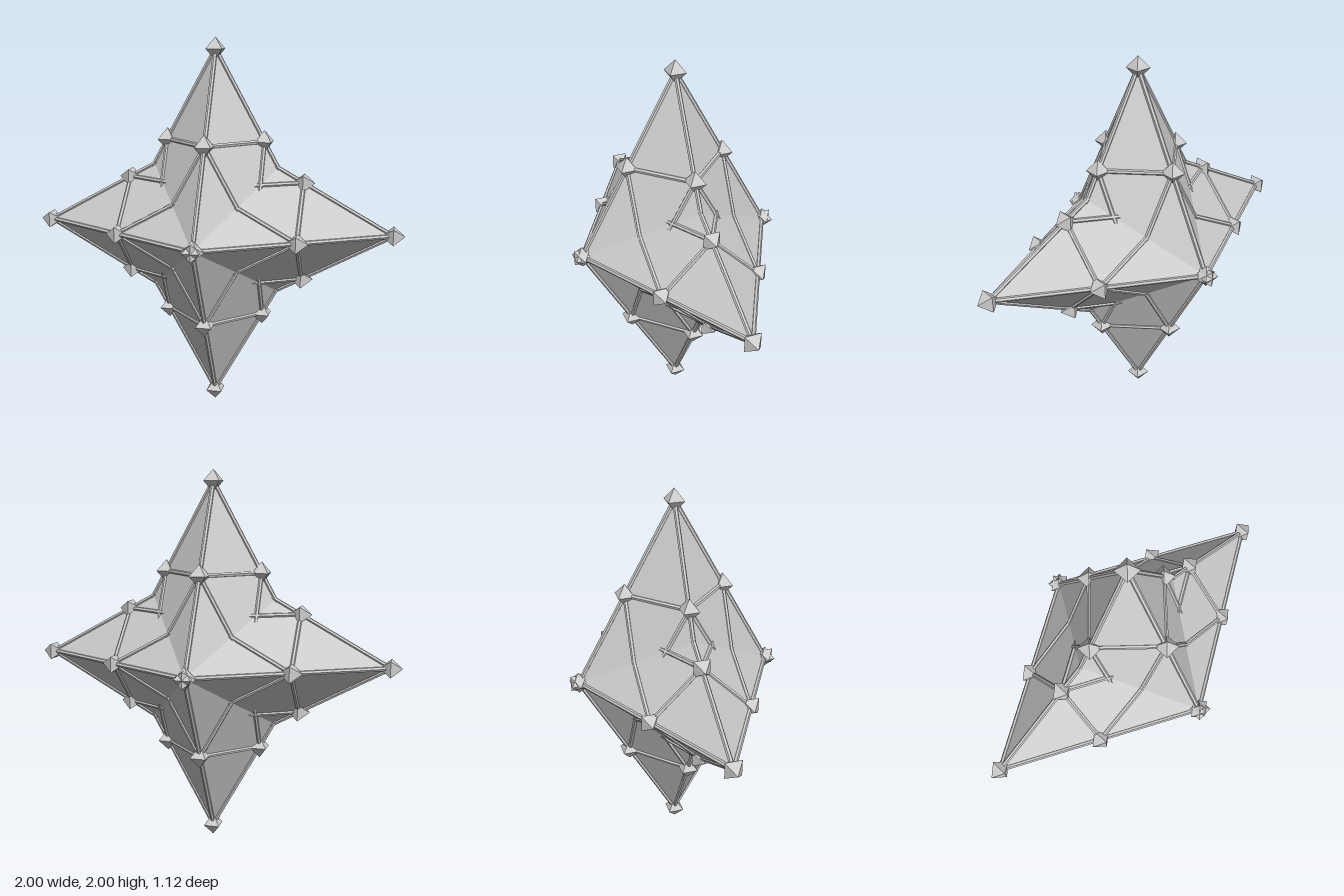
import * as THREE from 'three';

const LONG = 0.94, SHORT = 0.52;   // half-lengths of each stretched octahedron
const STRUT_R = 0.012, NODE_R = 0.06;
const grey = new THREE.MeshStandardMaterial({ color: 0xcccccc, flatShading: true });

// One stretched octahedron, long along y, with a strut frame and node joints
function createSpike() {
  const spike = new THREE.Group();
  const add = (geometry, name) => {
    const mesh = new THREE.Mesh(geometry, grey);
    mesh.name = name;
    spike.add(mesh);
    return mesh;
  };

  // Solid faceted body
  add(new THREE.OctahedronGeometry(1).scale(SHORT, LONG, SHORT), 'spikeBody');

  // Corners: top and bottom tips, then four around the middle
  const top = new THREE.Vector3(0, LONG, 0);
  const bottom = new THREE.Vector3(0, -LONG, 0);
  const ring = [[1, 0], [0, 1], [-1, 0], [0, -1]]
    .map(([x, z]) => new THREE.Vector3(x * SHORT, 0, z * SHORT));

  // Joint: small octahedron, square section lined up with the axes
  const nodeGeometry = new THREE.OctahedronGeometry(NODE_R).rotateY(Math.PI / 4);
  const node = (p) => add(nodeGeometry, 'node').position.copy(p);

  // Thin bar between two points
  const up = new THREE.Vector3(0, 1, 0);
  const strut = (a, b) => {
    const dir = b.clone().sub(a);
    const bar = add(new THREE.CylinderGeometry(STRUT_R, STRUT_R, dir.length(), 6), 'strut');
    bar.position.copy(a).lerp(b, 0.5);
    bar.quaternion.setFromUnitVectors(up, dir.normalize());
  };
  const middle = (a, b) => a.clone().lerp(b, 0.5);

  [top, bottom, ...ring].forEach(node);
  ring.forEach((a, i) => {
    const b = ring[(i + 1) % 4];
    const side = middle(a, b);
    strut(a, b);
    node(side);
    for (const tip of [top, bottom]) {
      // Long edge, then the triangle joining the face's edge midpoints
      const ma = middle(a, tip), mb = middle(b, tip);
      strut(a, tip);
      node(ma);
      strut(ma, mb);
      strut(ma, side);
      strut(mb, side);
    }
  });
  return spike;
}

export function createModel() {
  const model = new THREE.Group();
  model.name = 'fourPointedStar';

  const upright = createSpike();
  upright.name = 'uprightSpike';
  const sideways = createSpike();
  sideways.name = 'sidewaysSpike';
  sideways.rotation.z = -Math.PI / 2;

  for (const spike of [upright, sideways]) {
    spike.position.y = LONG + NODE_R;
    model.add(spike);
  }
  return model;
}
